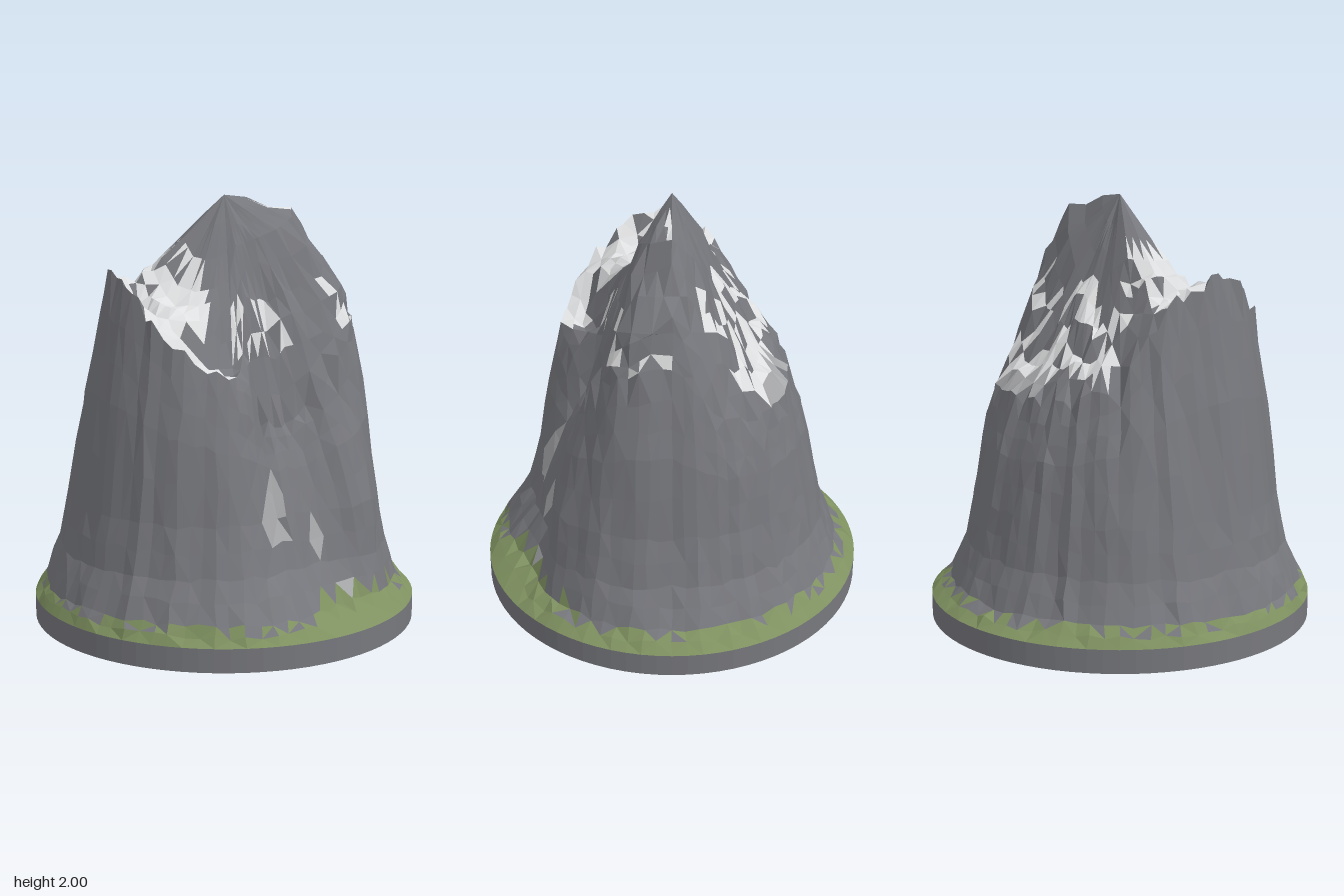
import * as THREE from 'three';

const flat = (name, color) => {
  const m = new THREE.MeshStandardMaterial({ color, flatShading: true, side: THREE.DoubleSide });
  m.name = name;
  return m;
};
const rock = flat('rock grey', 0x77787d);
const grass = flat('grass green', 0x7f9160);
const snow = flat('snow', 0xdedfe0);
const stone = flat('pale stone', 0xa6a7a9);

// One row for each 22.5 degrees, from +x towards +z: foot radius,
// flank radius at y 0.6, then radius and height of the rim, shelf and upper slope
const ROWS = [
  [0.83, 0.69, 0.575, 1.42, 0.53, 1.63, 0.35, 1.92],
  [0.83, 0.72, 0.62, 1.38, 0.56, 1.58, 0.31, 1.88],
  [0.80, 0.73, 0.52, 1.20, 0.40, 1.45, 0.20, 1.80],
  [0.75, 0.59, 0.43, 1.00, 0.31, 1.42, 0.14, 1.80],
  [0.81, 0.58, 0.40, 1.00, 0.29, 1.42, 0.13, 1.78],
  [0.86, 0.71, 0.58, 1.24, 0.40, 1.18, 0.20, 1.58],
  [0.86, 0.74, 0.63, 1.38, 0.49, 1.44, 0.25, 1.60],
  [0.86, 0.75, 0.60, 1.60, 0.48, 1.46, 0.28, 1.57],
  [0.86, 0.75, 0.575, 1.67, 0.44, 1.60, 0.31, 1.72],
  [0.86, 0.75, 0.54, 1.54, 0.42, 1.59, 0.30, 1.73],
  [0.84, 0.73, 0.55, 1.22, 0.36, 1.47, 0.20, 1.72],
  [0.81, 0.69, 0.56, 1.11, 0.38, 1.32, 0.20, 1.60],
  [0.81, 0.685, 0.54, 1.09, 0.35, 1.34, 0.17, 1.64],
  [0.81, 0.69, 0.57, 1.10, 0.36, 1.30, 0.20, 1.60],
  [0.82, 0.70, 0.59, 1.10, 0.40, 1.36, 0.21, 1.68],
  [0.82, 0.69, 0.60, 1.14, 0.46, 1.50, 0.26, 1.78],
];
const COLUMNS = 80, BASE_R = 0.91, BASE_Y = 0.11;
const RIM = 11, UPPER = 17;

// Small bare ledges on the front wall: x, y, half width, half height
const SNOW_LEDGES = [[0.04, 1.44, 0.14, 0.11], [0.45, 1.54, 0.04, 0.08], [0.53, 1.43, 0.05, 0.05]];
const STONE_LEDGES = [[0.17, 0.48, 0.05, 0.06], [0.35, 0.24, 0.06, 0.05], [-0.02, 0.62, 0.05, 0.13]];
const within = (spots, x, y) => spots.some(([sx, sy, w, h]) => Math.abs(x - sx) < w && Math.abs(y - sy) < h);

const makeRandom = (seed) => () => {
  seed = (seed * 16807) % 2147483647;
  return seed / 2147483647;
};

// Points from the foot of the mountain up to the peak along one direction
function profile(angleIndex) {
  const f = (angleIndex / COLUMNS) * ROWS.length, i = Math.floor(f);
  const next = ROWS[(i + 1) % ROWS.length];
  const [foot, r6, rimR, rimY, midR, midY, inR, inY] = ROWS[i].map((v, k) => v + (next[k] - v) * (f - i));
  const keys = [
    [BASE_R, BASE_Y, 2], [foot, 0.19, 2], [r6 + 0.38 * (foot - r6), 0.37, 2], [r6, 0.6, 2],
    [(r6 + rimR) / 2 + 0.015, (0.6 + rimY) / 2, 3], [rimR, rimY, 3], [midR, midY, 3], [inR, inY, 3],
  ];
  const points = [];
  keys.forEach(([r0, y0, n], k) => {
    const [r1, y1] = keys[k + 1] ?? [0, 2];
    for (let s = 0; s < n; s++) points.push([r0 + (r1 - r0) * s / n, y0 + (y1 - y0) * s / n]);
  });
  points.push([0, 2]);
  return points;
}

// Chooses the part a face belongs to from its centre, steepness and a random pick
function partFor(x, y, z, steep, pick) {
  const front = z > 0, crown = y > 1.08 && steep > 0.48;
  const grassLine = 0.15 + pick * 0.07 + (front && x > 0.05 && x < 0.65 ? 0.03 : 0);
  if (y < grassLine) return 'grassSkirt';
  if (front && pick > 0.45 && within(SNOW_LEDGES, x, y)) return 'snowCaps';
  if (front && pick > 0.2 && within(STONE_LEDGES, x, y)) return 'paleLedges';
  if (crown && x < -0.18 && z > -0.2 && y < 1.76) return 'snowCaps';
  if (crown && x > -0.33 && x < 0.46 && z < -0.12) return z > -0.44 ? 'snowCaps' : x > 0 ? 'paleLedges' : 'cliffs';
  if (y > 1.86 && steep > 0.75 && z < 0.02) return 'snowCaps';
  return 'cliffs';
}

function mountain() {
  const random = makeRandom(4711);
  const jitter = (a) => (random() - 0.5) * 2 * a;
  const columns = [];
  for (let j = 0; j < COLUMNS; j++) {
    const flute = jitter(0.01);
    columns.push(profile(j).map(([r, y], i, all) => {
      const fixed = i === 0 || i === all.length - 1;
      const crown = i >= RIM && i < UPPER;
      const rr = fixed ? r : r + flute * Math.min(1, r / 0.5) + jitter(crown ? 0.012 : 0.003);
      const yy = fixed ? y : y + jitter(crown ? 0.035 : 0.013);
      const a = (j / COLUMNS) * Math.PI * 2 + (fixed ? 0 : jitter(0.012));
      return new THREE.Vector3(rr * Math.cos(a), yy, rr * Math.sin(a));
    }));
  }
  // Wider facets on the crown and towards the peak
  columns.forEach((column, j) => column.forEach((p, i) => {
    const step = i >= UPPER ? 4 : i > RIM ? 2 : 1;
    const k = j % step;
    if (k) p.lerpVectors(columns[j - k][i], columns[(j - k + step) % COLUMNS][i], k / step);
  }));

  // Sort the faces into coloured parts
  const faces = { cliffs: [], grassSkirt: [], snowCaps: [], paleLedges: [] };
  const ab = new THREE.Vector3(), ac = new THREE.Vector3();
  const addFace = (a, b, c) => {
    const n = ab.subVectors(b, a).cross(ac.subVectors(c, a));
    if (n.length() < 1e-7) return;
    n.normalize();
    const part = partFor((a.x + b.x + c.x) / 3, (a.y + b.y + c.y) / 3, (a.z + b.z + c.z) / 3, n.y, random());
    for (const p of [a, b, c]) faces[part].push(p.x, p.y, p.z);
  };
  for (let j = 0; j < COLUMNS; j++) {
    const p = columns[j], q = columns[(j + 1) % COLUMNS];
    for (let i = 0; i < p.length - 1; i++) {
      if ((i + j) % 2) {
        addFace(p[i], p[i + 1], q[i]);
        addFace(q[i], p[i + 1], q[i + 1]);
      } else {
        addFace(p[i], p[i + 1], q[i + 1]);
        addFace(p[i], q[i + 1], q[i]);
      }
    }
  }

  const group = new THREE.Group();
  group.name = 'mountain';
  const materials = { cliffs: rock, grassSkirt: grass, snowCaps: snow, paleLedges: stone };
  for (const [name, list] of Object.entries(faces)) {
    const geometry = new THREE.BufferGeometry();
    geometry.setAttribute('position', new THREE.Float32BufferAttribute(list, 3));
    geometry.computeVertexNormals();
    const mesh = new THREE.Mesh(geometry, materials[name]);
    mesh.name = name;
    group.add(mesh);
  }
  return group;
}

// Open upright ring standing on the ground
function ring(name, radius) {
  const geometry = new THREE.CylinderGeometry(radius, radius, BASE_Y, COLUMNS, 1, true);
  geometry.translate(0, BASE_Y / 2, 0);
  const mesh = new THREE.Mesh(geometry, rock);
  mesh.name = name;
  return mesh;
}

// Green lining above the ribs, around the opening of the hollow
function lining() {
  const points = [[0.73, 0.11], [0.54, 0.13], [0.48, 0.24]].map(([r, y]) => new THREE.Vector2(r, y));
  const mesh = new THREE.Mesh(new THREE.LatheGeometry(points, 40), grass);
  mesh.name = 'hollowLining';
  return mesh;
}

export function createModel() {
  const model = new THREE.Group();
  model.name = 'mountainOnBase';
  model.add(mountain(), ring('baseRim', BASE_R), lining());
  // Concentric ribs inside the hollow base
  [0.73, 0.68, 0.63, 0.54].forEach((r, i) => model.add(ring(`innerRib${i + 1}`, r)));
  return model;
}
